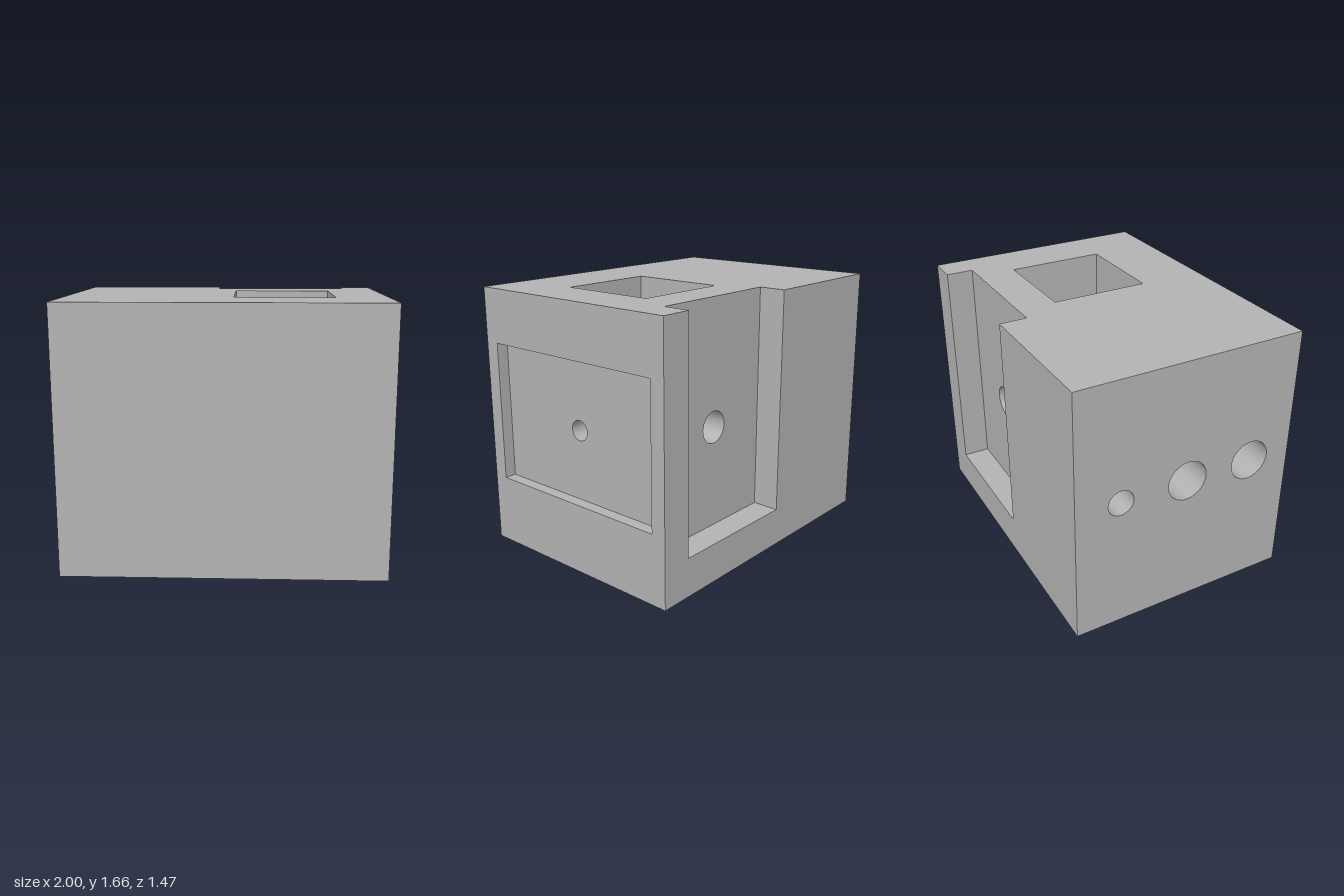
import * as THREE from 'three';

const W = 1, H = 1.665, D = 0.7325;            // half width, height, half depth
const AXIS_Y = 0.88;                           // height of all bores
const POCKET = { x0: 0.05, x1: 0.675, z: 0.313, floor: 0.5 };
const RECESS = { x: 0.925, z: 0.637, y0: 0.44, y1: 1.325 };
const SLOT = { x0: -0.08, x1: 0.8, z: -0.56, floor: 0.245 };
const SIDE_BORE_END = 0;                       // inner end of the blind bores

// Each facing: sign of the first and second 2D coordinate, and its rotation.
// Points are (z, y) for x facings, (x, z) for y facings, (x, y) for z facings.
const FACINGS = {
  '+x': [-1, 1, 'y', Math.PI / 2], '-x': [1, 1, 'y', -Math.PI / 2],
  '+y': [1, -1, 'x', -Math.PI / 2], '-y': [1, 1, 'x', Math.PI / 2],
  '+z': [1, 1, 'y', 0], '-z': [-1, 1, 'y', Math.PI],
};

const rect = (a0, b0, a1, b1) => [[a0, b0], [a1, b0], [a1, b1], [a0, b1]];
const circle = (a, b, r) => Array.from({ length: 48 }, (_, i) => {
  const t = (i / 48) * Math.PI * 2;
  return [a + r * Math.cos(t), b + r * Math.sin(t)];
});

export function createModel() {
  const grey = new THREE.MeshStandardMaterial({ color: 0xb2b2b2, side: THREE.DoubleSide });
  grey.name = 'grey';
  const model = new THREE.Group();
  model.name = 'housingBlock';

  const part = (name) => {
    const g = new THREE.Group();
    g.name = name;
    model.add(g);
    return g;
  };

  // Flat wall facing along an axis, with optional openings
  const panel = (parent, name, facing, at, outline, holes = []) => {
    const [sa, sb, axis, angle] = FACINGS[facing];
    const flat = (pts) => pts.map(([a, b]) => new THREE.Vector2(a * sa, b * sb));
    const shape = new THREE.Shape(flat(outline));
    shape.holes = holes.map((h) => new THREE.Path(flat(h)));
    const mesh = new THREE.Mesh(new THREE.ShapeGeometry(shape), grey);
    mesh.name = name;
    mesh.rotation[axis] = angle;
    mesh.position[facing[1]] = at;
    parent.add(mesh);
  };

  // Round bore wall along x or z, open at both ends
  const bore = (parent, name, axis, from, to, across, r) => {
    const g = new THREE.CylinderGeometry(r, r, to - from, 48, 1, true);
    if (axis === 'x') g.rotateZ(Math.PI / 2);
    else g.rotateX(Math.PI / 2);
    const mesh = new THREE.Mesh(g, grey);
    mesh.name = name;
    const mid = (from + to) / 2;
    if (axis === 'x') mesh.position.set(mid, AXIS_Y, across);
    else mesh.position.set(across, AXIS_Y, mid);
    parent.add(mesh);
  };

  const P = POCKET, R = RECESS, S = SLOT;
  const bores = [
    { name: 'smallSideBore', z: -0.4425, r: 0.083, end: SIDE_BORE_END },
    { name: 'shaftBore', z: 0, r: 0.13, end: P.x0 },
    { name: 'largeSideBore', z: 0.4425, r: 0.13, end: SIDE_BORE_END },
  ];
  const pinR = 0.063, backR = 0.1, backX = (P.x0 + P.x1) / 2;

  // Outer shell
  const shell = part('shell');
  panel(shell, 'frontFace', '+z', D, rect(-W, 0, W, H));
  panel(shell, 'bottomFace', '-y', 0, rect(-W, -D, W, D));
  panel(shell, 'leftFace', '+x', W, rect(-D, 0, D, H), [rect(-R.z, R.y0, R.z, R.y1)]);
  panel(shell, 'rightFace', '-x', -W, rect(-D, 0, D, H),
    bores.map((b) => circle(b.z, AXIS_Y, b.r)));
  panel(shell, 'backFace', '-z', -D, [[-W, 0], [W, 0], [W, H], [S.x1, H],
    [S.x1, S.floor], [S.x0, S.floor], [S.x0, H], [-W, H]]);
  panel(shell, 'topFace', '+y', H, [[-W, D], [W, D], [W, -D], [S.x1, -D],
    [S.x1, S.z], [S.x0, S.z], [S.x0, -D], [-W, -D]], [rect(P.x0, -P.z, P.x1, P.z)]);

  // Square pocket sunk from the top
  const pocket = part('topPocket');
  const sideWall = rect(-P.z, P.floor, P.z, H);
  const crossWall = rect(P.x0, P.floor, P.x1, H);
  panel(pocket, 'pocketFloor', '+y', P.floor, rect(P.x0, -P.z, P.x1, P.z));
  panel(pocket, 'pocketRightWall', '+x', P.x0, sideWall, [circle(0, AXIS_Y, bores[1].r)]);
  panel(pocket, 'pocketLeftWall', '-x', P.x1, sideWall, [circle(0, AXIS_Y, pinR)]);
  panel(pocket, 'pocketBackWall', '+z', -P.z, crossWall, [circle(backX, AXIS_Y, backR)]);
  panel(pocket, 'pocketFrontWall', '-z', P.z, crossWall);

  // Shallow rectangular recess on the left side
  const recess = part('sideRecess');
  panel(recess, 'recessBack', '+x', R.x, rect(-R.z, R.y0, R.z, R.y1), [circle(0, AXIS_Y, pinR)]);
  panel(recess, 'recessSill', '+y', R.y0, rect(R.x, -R.z, W, R.z));
  panel(recess, 'recessHead', '-y', R.y1, rect(R.x, -R.z, W, R.z));
  panel(recess, 'recessRearEdge', '+z', -R.z, rect(R.x, R.y0, W, R.y1));
  panel(recess, 'recessFrontEdge', '-z', R.z, rect(R.x, R.y0, W, R.y1));
  bore(recess, 'pinBore', 'x', P.x1, R.x, 0, pinR);

  // Open-topped slot on the back
  const slot = part('backSlot');
  panel(slot, 'slotBack', '-z', S.z, rect(S.x0, S.floor, S.x1, H), [circle(backX, AXIS_Y, backR)]);
  panel(slot, 'slotFloor', '+y', S.floor, rect(S.x0, -D, S.x1, S.z));
  panel(slot, 'slotRightEdge', '+x', S.x0, rect(-D, S.floor, S.z, H));
  panel(slot, 'slotLeftEdge', '-x', S.x1, rect(-D, S.floor, S.z, H));
  bore(slot, 'backBore', 'z', S.z, -P.z, backX, backR);

  // Row of bores on the right side; the outer two are blind
  const row = part('sideBores');
  for (const b of bores) {
    bore(row, b.name, 'x', -W, b.end, b.z, b.r);
    if (b.z !== 0) panel(row, b.name + 'End', '-x', b.end, circle(b.z, AXIS_Y, b.r));
  }
  return model;
}
